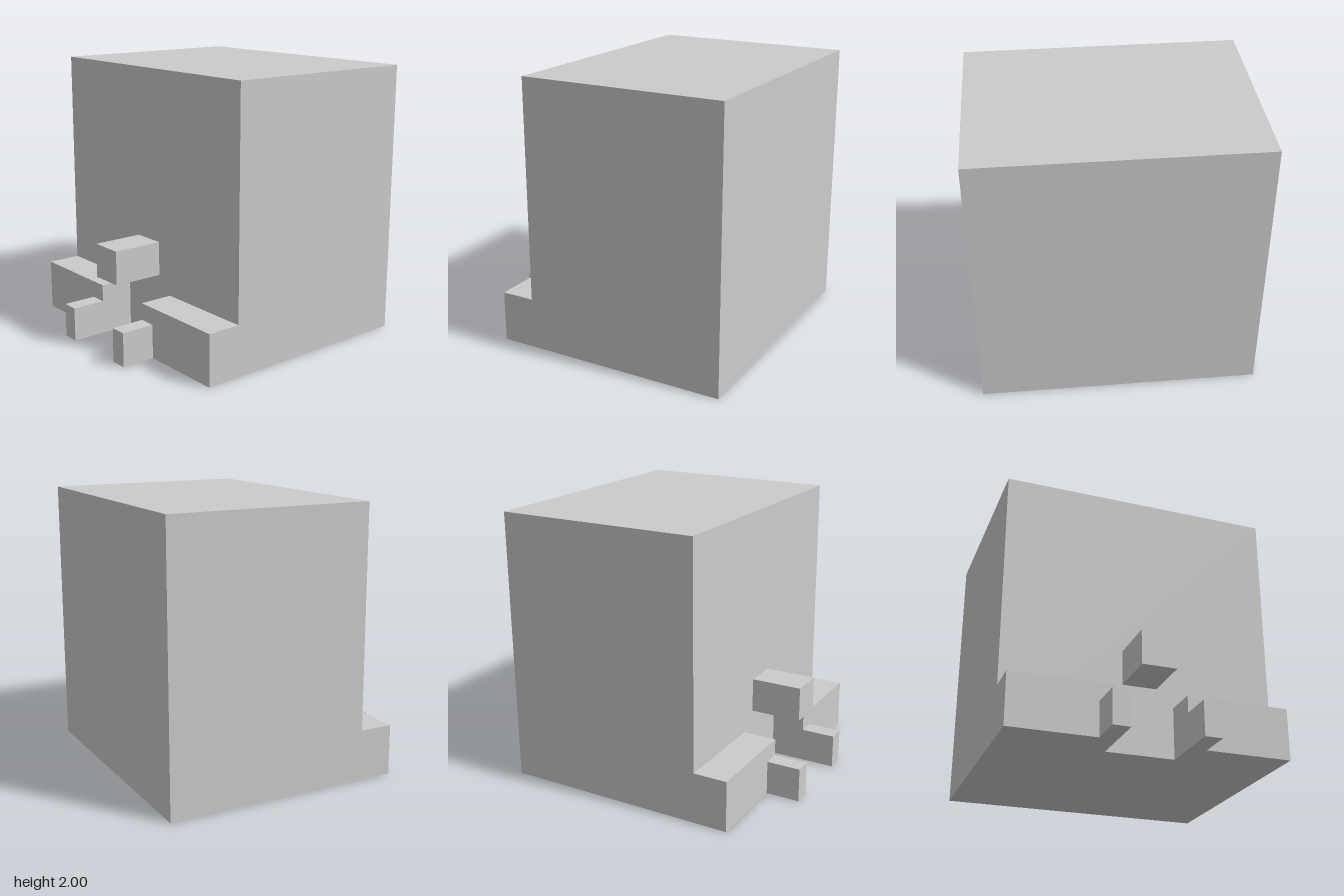
import * as THREE from 'three';

const material = new THREE.MeshStandardMaterial({ color: 0xcccccc, flatShading: true });

// Box given by its minimum and maximum corners
function block(name, [x0, y0, z0], [x1, y1, z1]) {
  const mesh = new THREE.Mesh(new THREE.BoxGeometry(x1 - x0, y1 - y0, z1 - z0), material);
  mesh.position.set((x0 + x1) / 2, (y0 + y1) / 2, (z0 + z1) / 2);
  mesh.name = name;
  return mesh;
}

export function createModel() {
  const model = new THREE.Group();
  model.name = 'blockModel';

  // Main body and the block projecting from its front
  model.add(block('body', [-1, 0, -1], [1, 2, 0.5]));
  model.add(block('frontBlock', [-0.125, 0.5, 0.5], [0.125, 0.75, 0.875]));

  // Mirrored front ledges, each with a short prong at its inner end
  for (const [side, s] of [['left', 1], ['right', -1]]) {
    const span = (a, b) => (s > 0 ? [a, b] : [-b, -a]);
    const [l0, l1] = span(0.25, 1);
    const [p0, p1] = span(0.25, 0.375);
    model.add(block(side + 'Ledge', [l0, 0, 0.5], [l1, 0.375, 0.75]));
    model.add(block(side + 'Prong', [p0, 0, 0.75], [p1, 0.25, 1]));
  }
  return model;
}
